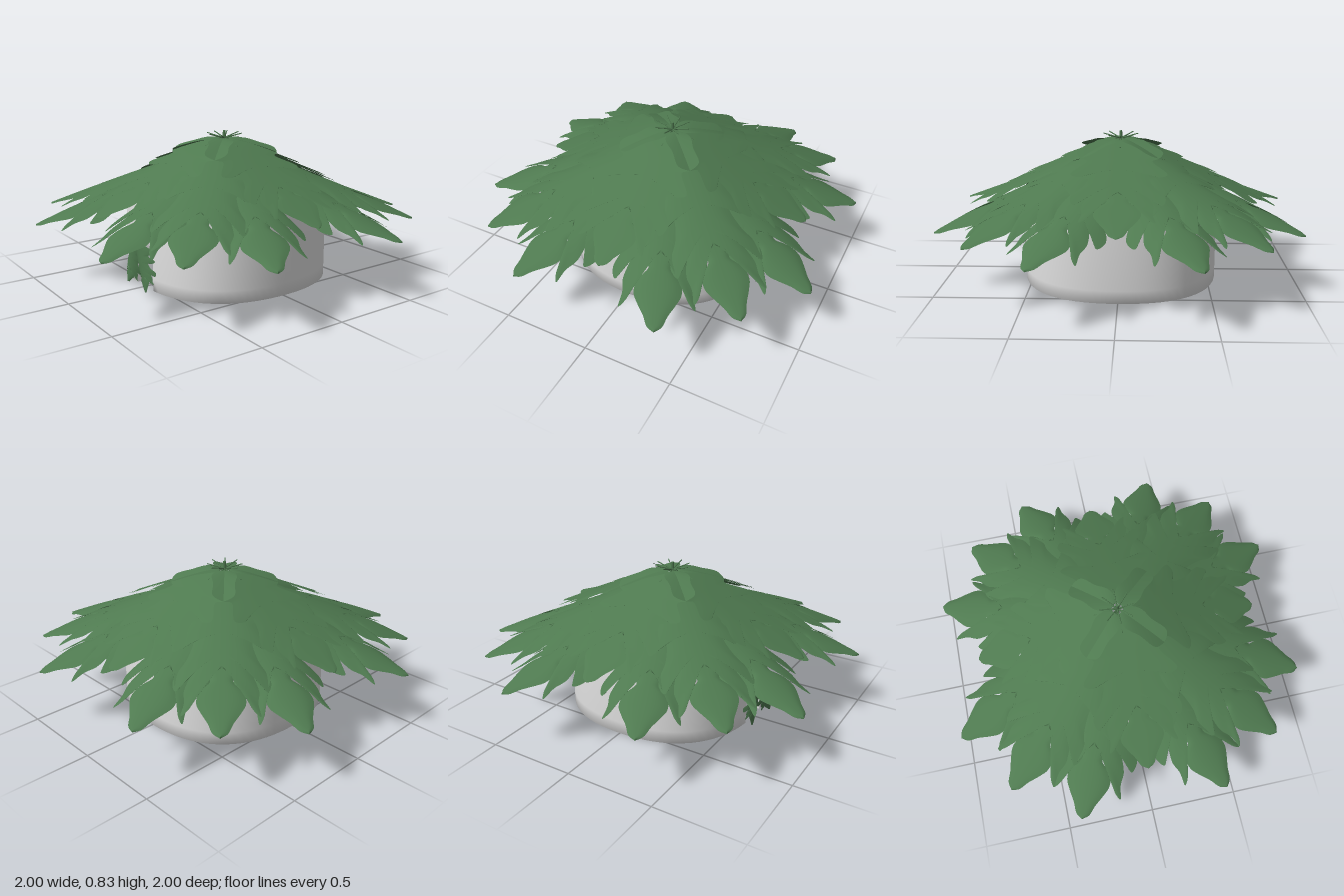
import * as THREE from 'three';

// Half outline of a split leaf: distance along, half width, matching midrib position
const OUTLINE = [
  [0.12, 0, 0.12], [0.07, 0.05, 0.14], [0.1, 0.12, 0.18], [0.18, 0.17, 0.23],
  [0.27, 0.24, 0.3], [0.34, 0.215, 0.33], [0.37, 0.18, 0.36], [0.5, 0.26, 0.42],
  [0.53, 0.21, 0.45], [0.5, 0.155, 0.47], [0.61, 0.18, 0.5], [0.72, 0.245, 0.54],
  [0.79, 0.225, 0.57], [0.74, 0.18, 0.59], [0.7, 0.15, 0.61], [0.8, 0.183, 0.63],
  [0.87, 0.178, 0.645], [0.94, 0.19, 0.66], [0.91, 0.152, 0.67], [0.85, 0.13, 0.68],
  [0.775, 0.125, 0.695], [0.715, 0.085, 0.715], [0.765, 0.056, 0.77], [0.81, 0.095, 0.81],
  [0.85, 0.117, 0.84], [0.89, 0.118, 0.87], [0.94, 0.095, 0.92], [1.0, 0.06, 0.98],
  [1.055, 0.035, 1.04], [1.08, 0, 1.08],
];

// Leaf sheet along +z: rounded near the base, then falling by slope, sides drooping, rim curled
function leafGeometry({ base, length, width, slope, round, droop, curl }) {
  const curve = new THREE.CatmullRomCurve3(
    OUTLINE.map((p) => new THREE.Vector3(...p)), false, 'centripetal');
  const rows = 174, half = 5, cols = half * 2 + 1;
  const position = [], index = [];
  for (let i = 0; i <= rows; i++) {
    const p = curve.getPoint(i / rows);
    for (let j = -half; j <= half; j++) {
      const t = Math.abs(j) / half;
      const u = base + THREE.MathUtils.lerp(p.z, p.x, t) * length;
      const v = Math.max(p.y, 0) * (j / half) * width;
      position.push(v, -slope * Math.hypot(u, round) - droop * v * v - curl * t ** 4, u);
      if (i < rows && j < half) {
        const a = i * cols + j + half, b = a + cols;
        index.push(a, b, a + 1, b, b + 1, a + 1);
      }
    }
  }
  const geometry = new THREE.BufferGeometry();
  geometry.setAttribute('position', new THREE.Float32BufferAttribute(position, 3));
  geometry.setIndex(index);
  geometry.computeVertexNormals();
  return geometry;
}

// Thin tapered stem between two points
function stem(from, to, radius, material, name) {
  const a = new THREE.Vector3(...from), b = new THREE.Vector3(...to);
  const mesh = new THREE.Mesh(
    new THREE.CylinderGeometry(radius * 0.6, radius, a.distanceTo(b), 6), material);
  mesh.position.copy(a).lerp(b, 0.5);
  mesh.quaternion.setFromUnitVectors(new THREE.Vector3(0, 1, 0), b.sub(a).normalize());
  mesh.name = name;
  return mesh;
}

export function createModel() {
  const model = new THREE.Group();
  model.name = 'leafHut';
  const green = new THREE.MeshStandardMaterial({ color: 0x4f7a50, side: THREE.DoubleSide });
  green.name = 'leafGreen';
  const white = new THREE.MeshStandardMaterial({ color: 0xe0e0e0 });
  white.name = 'wallWhite';

  // Wall: a slightly squared, softly shaded ring with a doorway at the front
  const wall = new THREE.Group();
  wall.name = 'wall';
  wall.position.z = -0.008;
  const outer = 0.555, inner = 0.522, doorTop = 0.23, wallTop = 0.49, doorAngle = 0.17;
  function ring(y0, start, sweep, segments, name) {
    const y1 = y0 + 0.07;
    const profile = [[inner, y0], [outer, y0], [outer, y1], [outer, wallTop],
      [inner, wallTop], [inner, y1], [inner, y0]].map((p) => new THREE.Vector2(...p));
    const geometry = new THREE.LatheGeometry(profile, segments, start, sweep);
    const position = geometry.attributes.position;
    for (let i = 0; i < position.count; i++) {
      const x = position.getX(i), z = position.getZ(i);
      const bulge = 1 + 0.027 * (1 - Math.cos(4 * Math.atan2(x, z)));
      position.setX(i, x * bulge);
      position.setZ(i, z * bulge);
    }
    geometry.computeVertexNormals();
    const mesh = new THREE.Mesh(geometry, white);
    mesh.name = name;
    wall.add(mesh);
  }
  ring(0, doorAngle, Math.PI * 2 - doorAngle * 2, 72, 'mainWall');
  ring(doorTop, -doorAngle, doorAngle * 2, 6, 'doorLintel');
  for (const side of [-1, 1]) {
    const jamb = new THREE.Mesh(new THREE.BoxGeometry(0.004, doorTop, outer - inner), white);
    const r = (outer + inner) / 2 + 0.003;
    jamb.position.set(side * Math.sin(doorAngle) * r, doorTop / 2, Math.cos(doorAngle) * r);
    jamb.rotation.y = side * doorAngle;
    jamb.name = 'doorJamb';
    wall.add(jamb);
  }
  model.add(wall);

  // Roof: three layers of leaves radiating from the peak, the top layer almost flat
  const roof = new THREE.Group();
  roof.name = 'roof';
  const layers = [
    { name: 'lowerLeaf', count: 8, start: Math.PI / 8, top: 0.797, base: 0, length: 1,
      width: 1, slope: 0.412, round: 0.25, droop: 1.2, curl: 0.008 },
    { name: 'cornerLeaf', count: 4, start: Math.PI / 4, top: 0.82, base: 0, length: 1,
      width: 1, slope: 0.41, round: 0.25, droop: 0.7, curl: 0.008 },
    { name: 'upperLeaf', count: 4, start: 0, top: 0.83, base: -0.06, length: 0.815,
      width: 1, slope: 0.475, round: 0.08, droop: 0.1, curl: 0.003 },
  ];
  for (const layer of layers) {
    const geometry = leafGeometry(layer);
    for (let i = 0; i < layer.count; i++) {
      const leaf = new THREE.Mesh(geometry, green);
      leaf.position.y = layer.top;
      leaf.rotation.y = layer.start + (i / layer.count) * Math.PI * 2;
      leaf.name = layer.name;
      roof.add(leaf);
    }
  }

  // Stems crossing at the peak
  for (let i = 0; i < 8; i++) {
    const a = (i / 8) * Math.PI * 2, x = Math.sin(a), z = Math.cos(a);
    roof.add(stem([x * 0.13, 0.755, z * 0.13], [-x * 0.1, 0.82, -z * 0.1], 0.005, green, 'roofStem'));
  }
  roof.add(stem([0, 0.74, 0], [0, 0.835, 0], 0.014, green, 'peakStem'));
  model.add(roof);

  // Pair of overlapping leaves hanging over the doorway
  const door = new THREE.Group();
  door.name = 'doorLeaves';
  const doorGeometry = leafGeometry({
    base: 0, length: 0.275, width: 0.34, slope: 0, round: 0, droop: 5, curl: 0.004 });
  for (const side of [-1, 1]) {
    const leaf = new THREE.Mesh(doorGeometry, green);
    leaf.rotation.x = Math.PI / 2;
    leaf.name = 'doorLeaf';
    const hinge = new THREE.Group();
    hinge.name = 'doorLeafHinge';
    hinge.position.set(side * 0.024, 0.293, 0.598 + side * 0.004);
    hinge.rotation.z = side * 0.29;
    hinge.add(leaf);
    door.add(hinge);
    door.add(stem([side * 0.04, 0.262, 0.599], [-side * 0.012, 0.318, 0.575], 0.004, green, 'doorStem'));
  }
  model.add(door);
  return model;
}
